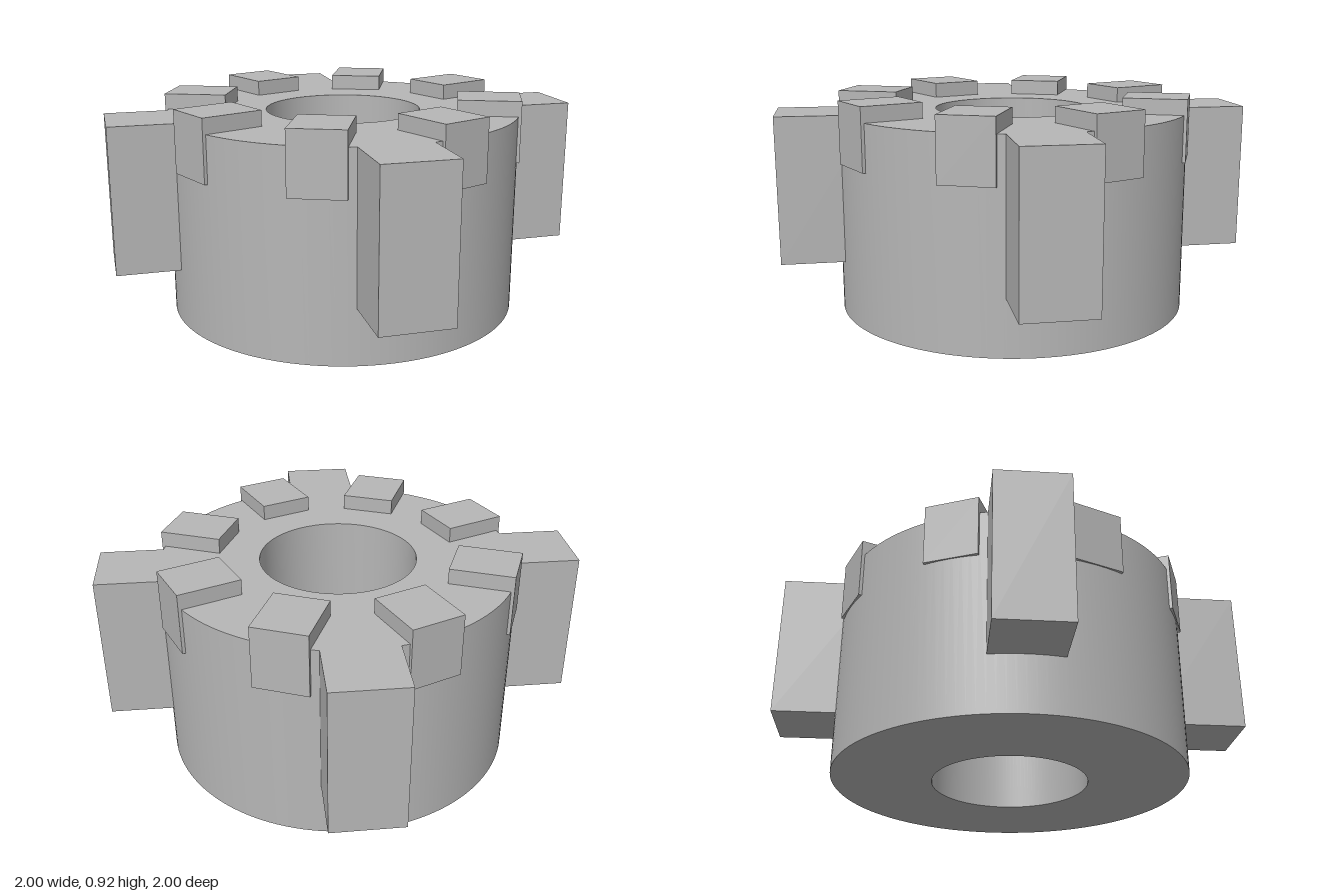
import * as THREE from 'three';
import { toCreasedNormals } from 'three/addons/utils/BufferGeometryUtils.js';

const HEIGHT = 0.855;

export function createModel() {
  const model = new THREE.Group();
  model.name = 'castellatedHub';

  const metal = new THREE.MeshStandardMaterial({ color: 0xb6b6b6 });
  metal.name = 'grey metal';

  // Hub: a thick ring with a round bore through it
  const ring = new THREE.Shape().absarc(0, 0, 0.75, 0, Math.PI * 2, false);
  ring.holes.push(new THREE.Path().absarc(0, 0, 0.33, 0, Math.PI * 2, true));
  const hubGeometry = new THREE.ExtrudeGeometry(ring, {
    depth: HEIGHT, bevelEnabled: false, curveSegments: 64,
  });
  hubGeometry.rotateX(-Math.PI / 2);
  const hub = new THREE.Mesh(toCreasedNormals(hubGeometry, 0.6), metal);
  hub.name = 'hub';
  model.add(hub);

  // Ring of equal blocks, each reaching radially from inner to outer
  function addBlocks(name, count, startAngle, width, inner, outer, bottom, top) {
    const geometry = new THREE.BoxGeometry(width, top - bottom, outer - inner);
    geometry.translate(0, (top + bottom) / 2, (outer + inner) / 2);
    for (let i = 0; i < count; i++) {
      const block = new THREE.Mesh(geometry, metal);
      block.name = name + (i + 1);
      block.rotation.y = startAngle + (i * Math.PI * 2) / count;
      model.add(block);
    }
  }

  // Four side lugs flush with the top, and eight raised teeth between them
  addBlocks('lug', 4, 0, 0.295, 0.6, 1, 0.235, HEIGHT);
  addBlocks('tooth', 8, Math.PI / 8, 0.226, 0.49, 0.755, 0.66, 0.92);

  return model;
}
